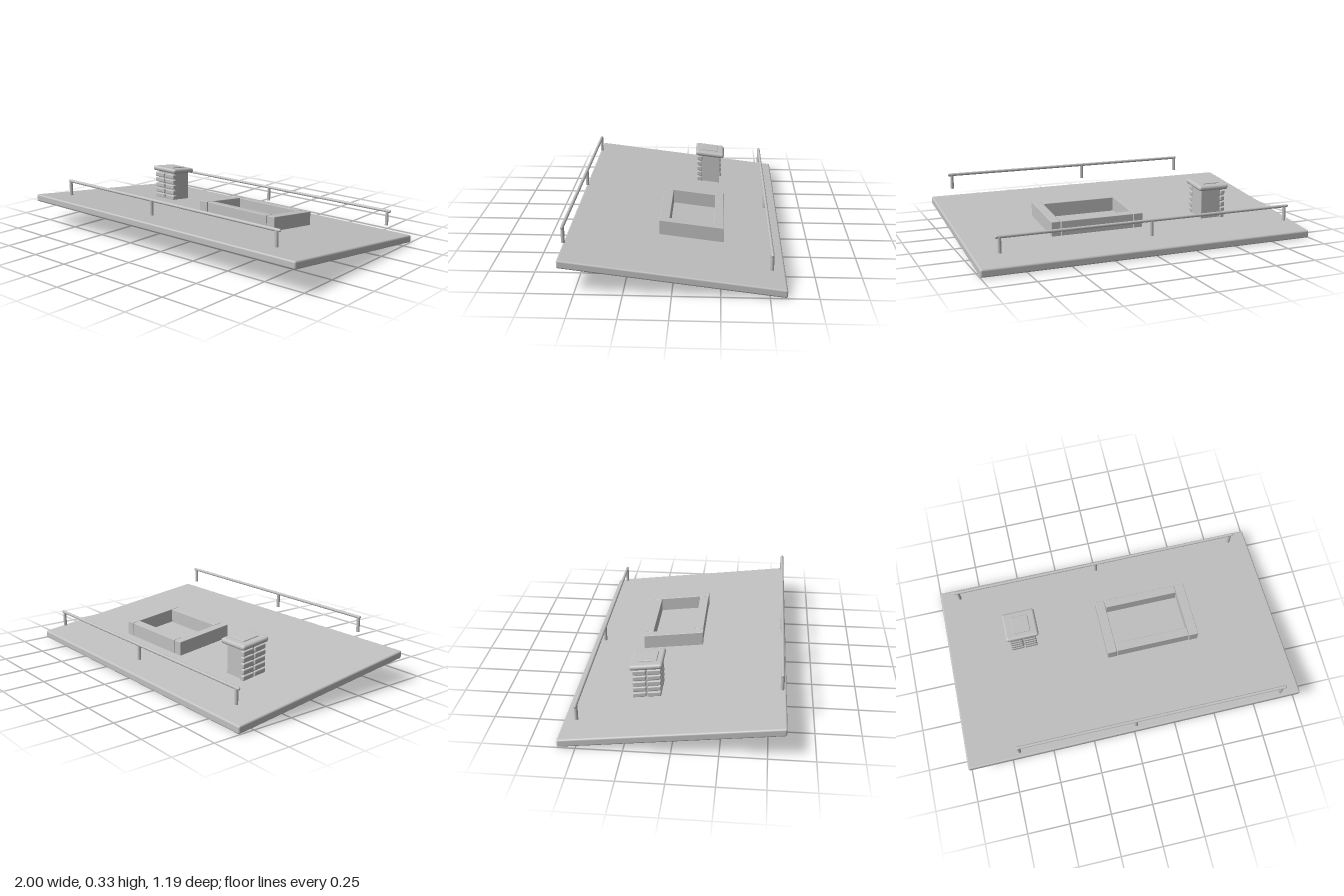
import * as THREE from 'three';
import { RoundedBoxGeometry } from 'three/addons/geometries/RoundedBoxGeometry.js';

const SLOPE = 0.122;
// leans level parts along the roof pitch: y rises towards the front
const pitch = new THREE.Matrix4().set(1, 0, 0, 0, 0, 1, SLOPE, 0, 0, 0, 1, 0, 0, 0, 0, 1);

export function createModel() {
  const model = new THREE.Group();
  const grey = new THREE.MeshStandardMaterial({ color: 0xc0c0c0 });
  grey.name = 'light grey';

  const add = (parent, name, geometry) => {
    const mesh = new THREE.Mesh(geometry, grey);
    mesh.name = name;
    parent.add(mesh);
  };
  const group = (name) => {
    const g = new THREE.Group();
    g.name = name;
    model.add(g);
    return g;
  };
  // block between two corners, following the pitch
  const block = (parent, name, [x0, x1], [y0, y1], [z0, z1], radius = 0.003) => {
    const geo = new RoundedBoxGeometry(x1 - x0, y1 - y0, z1 - z0, 2, radius);
    geo.translate((x0 + x1) / 2, (y0 + y1) / 2, (z0 + z1) / 2);
    add(parent, name, geo.applyMatrix4(pitch));
  };

  // roof slab, very slightly narrower towards +x
  const slab = new RoundedBoxGeometry(2, 0.045, 1.182, 2, 0.01);
  const pos = slab.attributes.position;
  for (let i = 0; i < pos.count; i++) {
    pos.setZ(i, pos.getZ(i) * (1 - 0.008 * pos.getX(i)) - 0.003);
  }
  slab.translate(0, 0.0955, 0);
  add(model, 'roofSlab', slab.applyMatrix4(pitch));

  // skylight frame: two long side bars and two bars between them
  const frame = group('skylightFrame');
  const frameY = [0.1, 0.201];
  block(frame, 'sideBar', [-0.06, -0.004], frameY, [-0.263, 0.095]);
  block(frame, 'sideBar', [0.448, 0.503], frameY, [-0.263, 0.095]);
  block(frame, 'frontBar', [0, 0.444], frameY, [0.038, 0.093]);
  block(frame, 'backBar', [0, 0.444], frameY, [-0.263, -0.212]);

  // chimney core, brick rows on the front and one side, rounded cap
  const chimney = group('chimney');
  block(chimney, 'chimneyCore', [-0.608, -0.465], [0.1, 0.305], [-0.238, -0.111]);
  for (let row = 0; row < 5; row++) {
    const y = 0.13 + row * 0.035;
    const rowY = [y - 0.0145, y + 0.0145];
    block(chimney, 'frontBrick', [-0.62, -0.543], rowY, [-0.125, -0.092], 0.006);
    block(chimney, 'frontBrick', [-0.537, -0.46], rowY, [-0.125, -0.092], 0.006);
    block(chimney, 'sideBrick', [-0.62, -0.593], rowY, [-0.25, -0.175], 0.006);
    block(chimney, 'sideBrick', [-0.62, -0.593], rowY, [-0.169, -0.092], 0.006);
  }
  block(chimney, 'chimneyCap', [-0.636, -0.438], [0.294, 0.325], [-0.266, -0.082], 0.0145);
  block(chimney, 'capPlate', [-0.59, -0.483], [0.315, 0.331], [-0.228, -0.117], 0.004);

  // guard rails on short posts
  const rail = (name, x0, x1, y, z, posts) => {
    const g = group(name);
    const bar = new THREE.CapsuleGeometry(0.009, x1 - x0 - 0.018, 4, 12);
    add(g, 'railBar', bar.rotateZ(Math.PI / 2).translate((x0 + x1) / 2, y, z));
    for (const x of posts) {
      const post = new THREE.CylinderGeometry(0.01, 0.01, 0.088, 14);
      add(g, 'railPost', post.translate(x, y - 0.044, z));
    }
  };
  rail('frontRail', -0.705, 0.895, 0.32, 0.565, [-0.69, 0, 0.87]);
  rail('backRail', -0.9, 0.9, 0.188, -0.512, [-0.875, 0, 0.875]);

  return model;
}
